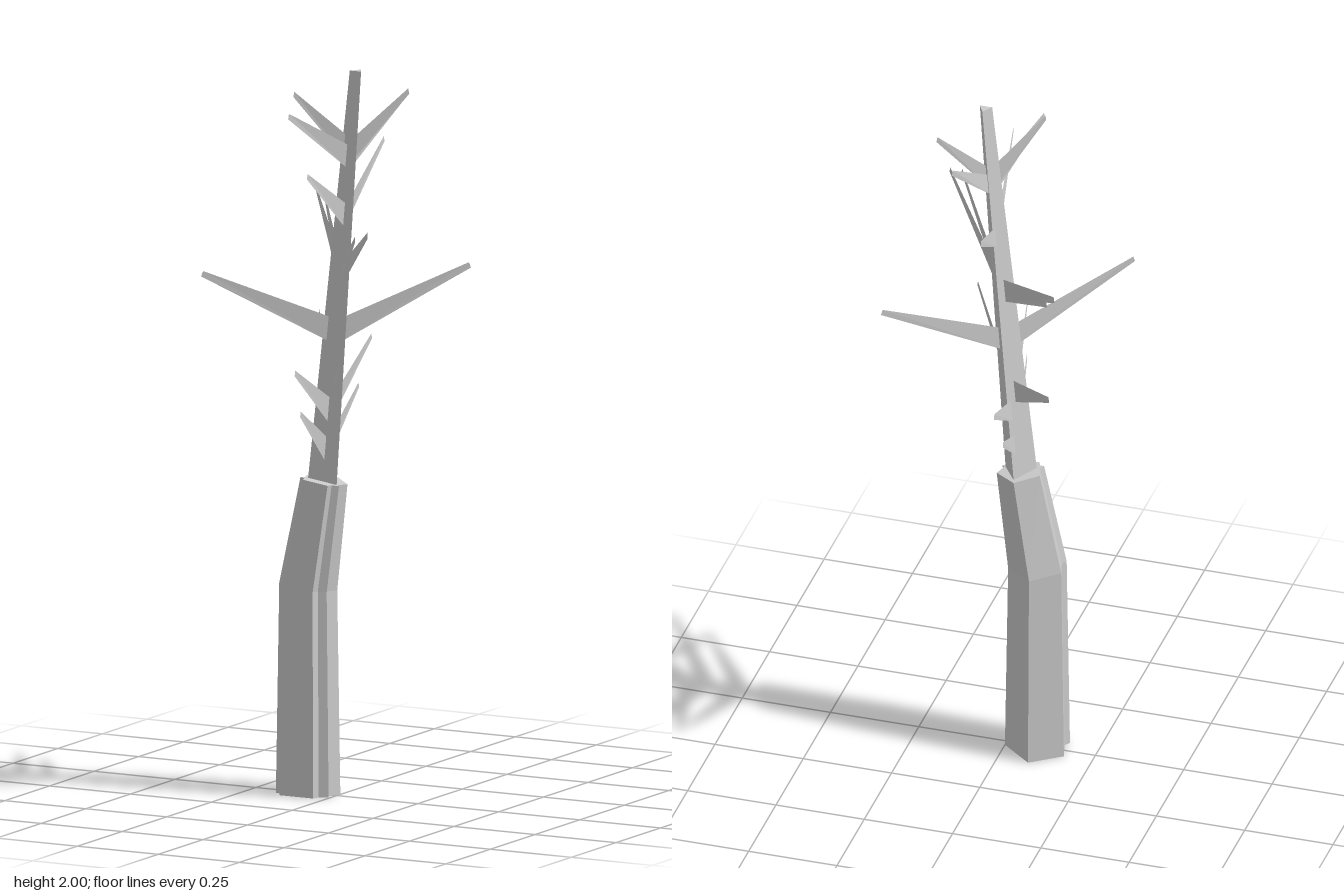
import * as THREE from 'three';

// Closed faceted solid through rings of [x, y, z], each running counter-clockwise seen from above
function loft(rings) {
  const pos = [];
  const tri = (a, b, c) => pos.push(...a, ...b, ...c);
  const n = rings[0].length;
  for (let r = 0; r < rings.length - 1; r++) {
    for (let i = 0; i < n; i++) {
      const j = (i + 1) % n;
      const a = rings[r][i], b = rings[r][j], c = rings[r + 1][j], d = rings[r + 1][i];
      tri(a, b, c);
      tri(a, c, d);
    }
  }
  const cap = (ring, up) => {
    const flat = ring.map(p => new THREE.Vector2(p[0], -p[2]));
    for (const [i, j, k] of THREE.ShapeUtils.triangulateShape(flat, [])) {
      const facesUp = THREE.ShapeUtils.area([flat[i], flat[j], flat[k]]) > 0;
      if (facesUp === up) tri(ring[i], ring[j], ring[k]);
      else tri(ring[i], ring[k], ring[j]);
    }
  };
  cap(rings[0], false);
  cap(rings[rings.length - 1], true);
  const g = new THREE.BufferGeometry();
  g.setAttribute('position', new THREE.Float32BufferAttribute(pos, 3));
  g.computeVertexNormals();
  return g;
}

// Centre line of the upper stem
const stemX = y => -0.035 + 0.086 * (y - 0.87);

// Flat vertical blade tapering from the stem to its tip
function blade(rootLow, rootHigh, [x, y, z]) {
  const p = [
    stemX(rootLow), rootLow, 0,
    x, y - 0.015, z,
    x * 0.985, y, z * 0.985,
    stemX(rootHigh), rootHigh, 0,
  ];
  const g = new THREE.BufferGeometry();
  g.setAttribute('position', new THREE.Float32BufferAttribute(p, 3));
  g.setIndex([0, 1, 2, 0, 2, 3]);
  g.computeVertexNormals();
  return g;
}

export function createModel() {
  const model = new THREE.Group();
  const grey = new THREE.MeshStandardMaterial({ color: 0xcccccc, side: THREE.DoubleSide, flatShading: true });
  grey.name = 'pale grey';
  const add = (name, geometry, parent = model) => {
    const mesh = new THREE.Mesh(geometry, grey);
    mesh.name = name;
    parent.add(mesh);
  };

  // Ridged lower trunk: one outline about its centre, shrunk and shifted upwards
  const outline = [
    [-0.085, -0.03], [-0.07, 0.025], [-0.08, 0.042], [-0.06, 0.047], [-0.053, 0.07],
    [0.05, 0.07], [0.055, 0.047], [0.08, 0.037], [0.07, 0.025], [0.085, -0.02], [-0.002, -0.09],
  ];
  const ring = (cx, y, s, tilt) => outline.map(([x, z]) => [cx + x * s, y - tilt * x, z * s]);
  add('lowerTrunk', loft([ring(-0.085, 0, 1, 0), ring(-0.085, 0.57, 0.9, 0.1), ring(-0.037, 0.865, 0.73, 0.1)]));

  // Slender three-sided upper stem
  add('upperStem', loft([
    [[-0.08, 0.85, 0.02], [0.01, 0.85, 0.02], [-0.035, 0.85, -0.05]],
    [[0.045, 2, 0.009], [0.08, 2, 0.009], [0.064, 2, -0.02]],
  ]));

  // Pairs of blades: low and high root, then the two opposite tips
  const pairs = [
    [0.91, 0.98, [0.015, 1.095, 0.233], [-0.06, 1.095, -0.233]],
    [1.02, 1.09, [0.035, 1.22, 0.3], [-0.055, 1.22, -0.297]],
    [1.08, 1.15, [0.165, 1.28, 0.262], [-0.2, 1.28, -0.262]],
    [1.24, 1.31, [-0.29, 1.455, 0.235], [0.285, 1.455, -0.235]],
    [1.395, 1.465, [0.25, 1.615, 0.28], [-0.205, 1.605, -0.298]],
    [1.395, 1.465, [0.222, 1.605, 0.3], [-0.222, 1.615, -0.285]],
    [1.565, 1.63, [0.075, 1.765, 0.303], [-0.018, 1.765, -0.3]],
    [1.725, 1.79, [-0.05, 1.9, 0.182], [0.1, 1.9, -0.182]],
    [1.74, 1.81, [-0.08, 1.945, 0.098], [0.17, 1.945, -0.098]],
  ];
  const branches = new THREE.Group();
  branches.name = 'branches';
  model.add(branches);
  pairs.forEach(([low, high, ...tips], i) => {
    tips.forEach((tip, k) => add(`branch${i + 1}${k ? 'Back' : 'Front'}`, blade(low, high, tip), branches));
  });
  return model;
}
